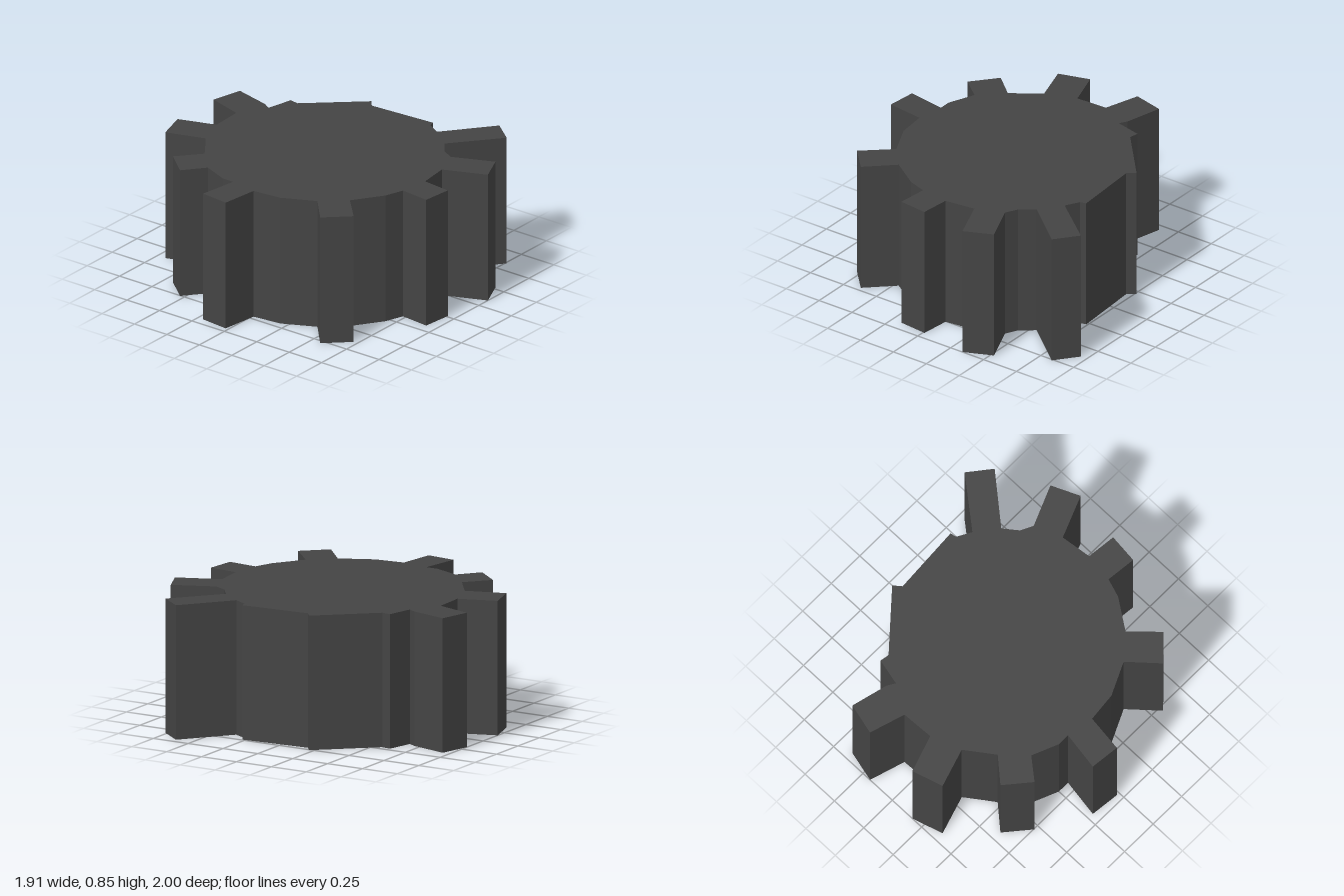
import * as THREE from 'three';

const HEIGHT = 0.845;

// Teeth as [root, tip, tip, root] corners in (x, z), running clockwise seen from above
const teeth = [
  [[0.12, -0.77], [0.19, -1.0], [0.39, -0.95], [0.33, -0.71]],
  [[0.65, 0.37], [0.955, 0.615], [0.84, 0.76], [0.54, 0.51]],
  [[0.41, 0.66], [0.52, 0.92], [0.34, 1.0], [0.23, 0.73]],
  [[0.03, 0.755], [0.01, 0.945], [-0.18, 0.925], [-0.16, 0.73]],
  [[-0.47, 0.56], [-0.64, 0.72], [-0.78, 0.57], [-0.6, 0.41]],
  [[-0.72, 0.01], [-0.96, -0.02], [-0.94, -0.21], [-0.69, -0.17]],
  [[-0.62, -0.42], [-0.755, -0.53], [-0.62, -0.69], [-0.47, -0.56]],
  [[-0.29, -0.69], [-0.37, -0.94], [-0.17, -1.0], [-0.09, -0.76]],
];

// Rim points following each tooth; the first gap is the worn side with no teeth
const gaps = [
  [[0.3, -0.66], [0.47, -0.62], [0.46, -0.56], [0.76, -0.22], [0.71, -0.18], [0.74, 0.27], [0.7, 0.28]],
  [[0.45, 0.58]],
  [],
  [[-0.28, 0.69]],
  [[-0.7, 0.2]],
  [[-0.69, -0.25]],
  [[-0.4, -0.61]],
  [[0, -0.765]],
];

export function createModel() {
  const group = new THREE.Group();
  group.name = 'wornGear';

  // Gear body: one outline of teeth and rim, extruded upwards
  const outline = teeth.flatMap((tooth, i) => [...tooth, ...gaps[i]]);
  const shape = new THREE.Shape(outline.map(([x, z]) => new THREE.Vector2(x, -z)));
  const geometry = new THREE.ExtrudeGeometry(shape, { depth: HEIGHT, bevelEnabled: false });
  geometry.rotateX(-Math.PI / 2);

  const material = new THREE.MeshStandardMaterial({ color: 0x444444 });
  const gear = new THREE.Mesh(geometry, material);
  gear.name = 'gearBody';
  group.add(gear);
  return group;
}
